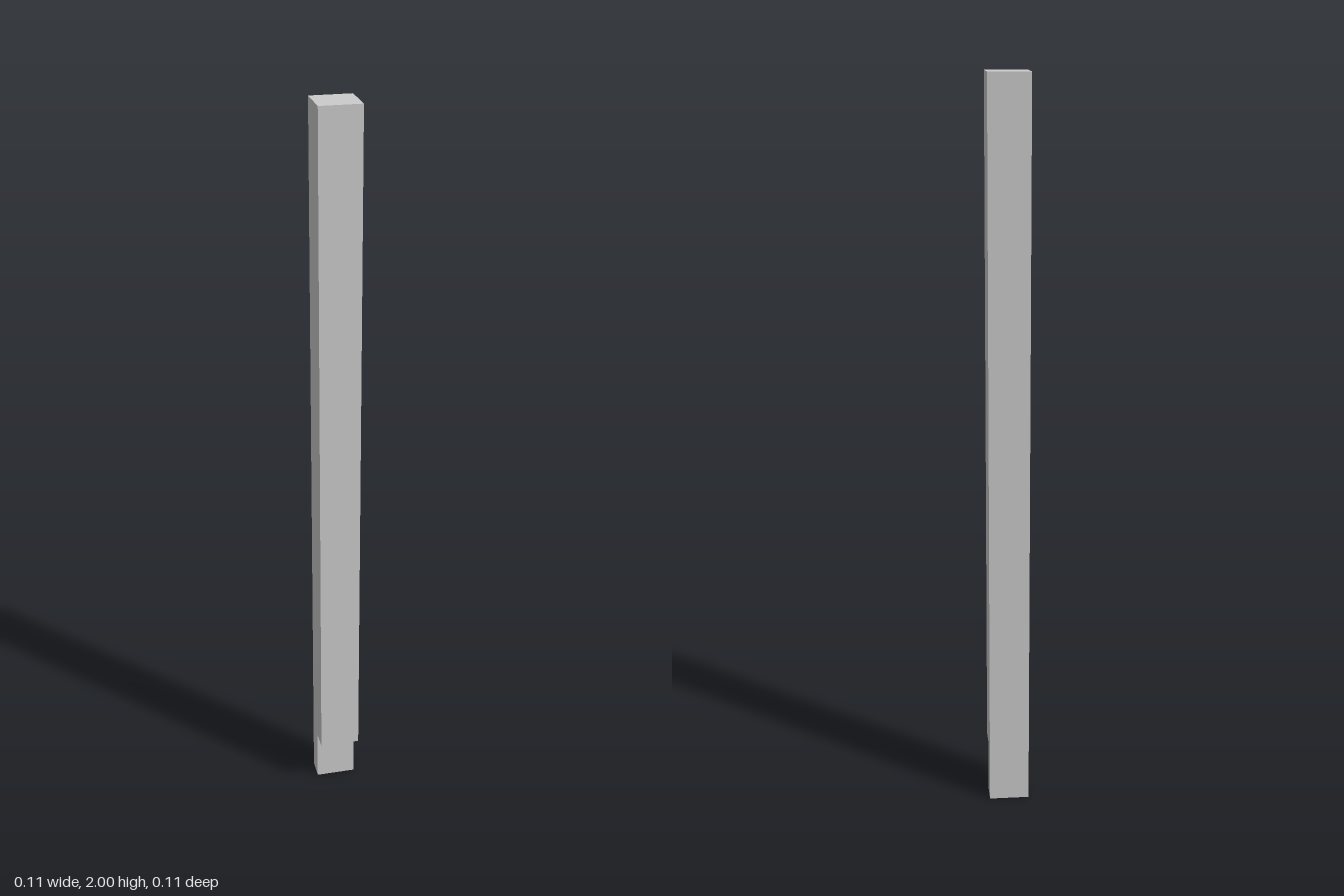
import * as THREE from 'three';

const HEIGHT = 2;
const HALF = 0.055; // half the square section
const NOTCH = 0.15; // height of the half-lap cut

export function createModel() {
  const group = new THREE.Group();
  group.name = 'notchedPost';

  // Side profile (z, y): square post with the front half cut away at the foot
  const profile = new THREE.Shape([
    [-HALF, 0], [0, 0], [0, NOTCH], [HALF, NOTCH], [HALF, HEIGHT], [-HALF, HEIGHT],
  ].map(([z, y]) => new THREE.Vector2(z, y)));

  // Extrude across the width, then turn the profile to face sideways
  const geometry = new THREE.ExtrudeGeometry(profile, { depth: HALF * 2, bevelEnabled: false });
  geometry.translate(0, 0, -HALF);
  geometry.rotateY(-Math.PI / 2);

  const post = new THREE.Mesh(geometry, new THREE.MeshStandardMaterial({ color: 0xcccccc, flatShading: true }));
  post.name = 'post';
  group.add(post);
  return group;
}
